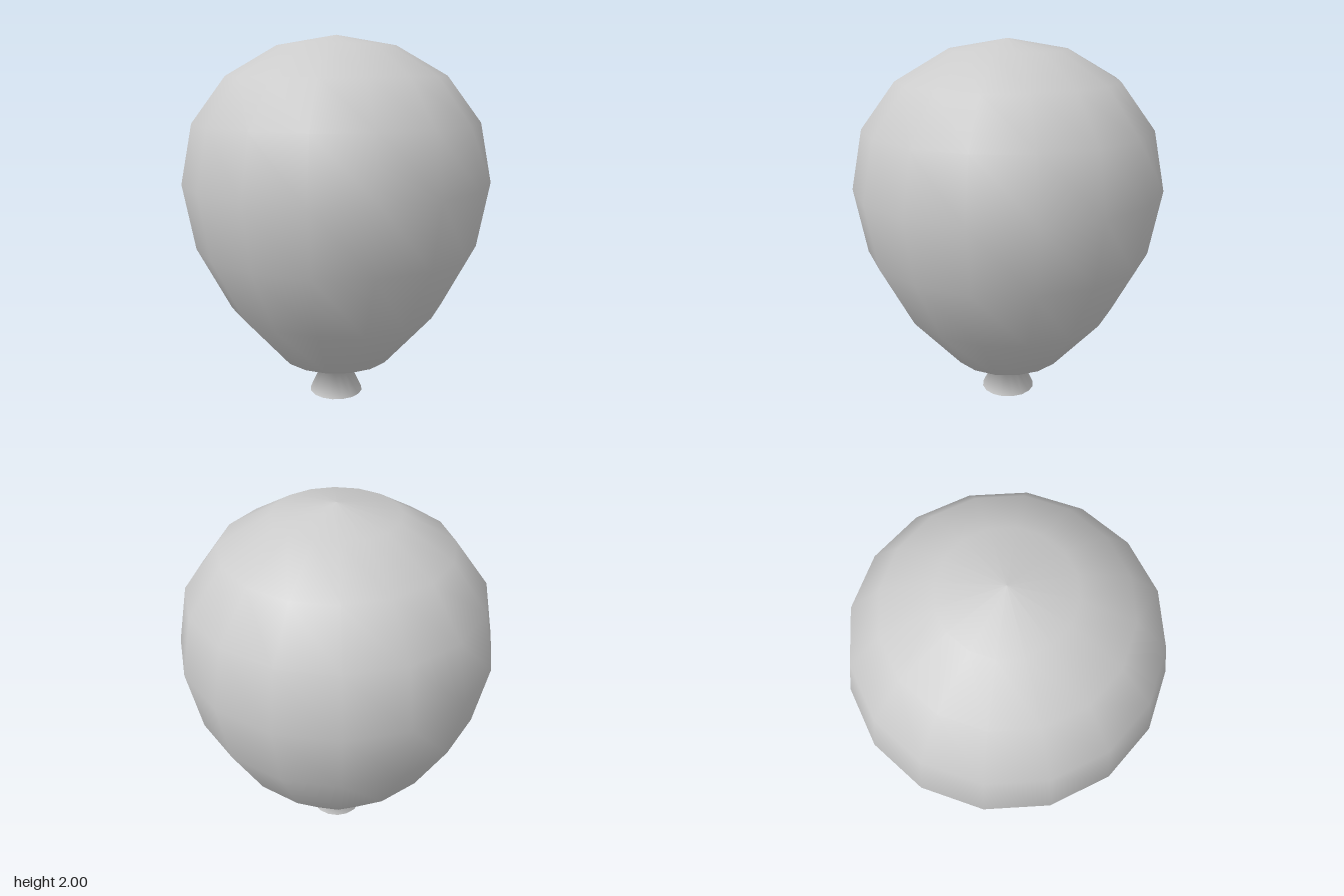
import * as THREE from 'three';

export function createModel() {
  const group = new THREE.Group();
  group.name = 'balloon';
  const material = new THREE.MeshStandardMaterial({ color: 0xcccccc });

  // One smooth 16-sided revolve, from the closed mouth up to the crown
  const profile = [
    [0, 0.005], [0.12, 0.005], [0.15, 0],                 // mouth and lip
    [0.09, 0.13],                                         // pinched neck
    [0.315, 0.23], [0.587, 0.54], [0.767, 0.885],         // tapering lower body
    [0.83, 1.235], [0.767, 1.55], [0.587, 1.79],          // widest part and shoulders
    [0.317, 1.945], [0, 2],                               // crown
  ].map(([r, y]) => new THREE.Vector2(r, y));

  const body = new THREE.Mesh(new THREE.LatheGeometry(profile, 16), material);
  body.name = 'balloonBody';
  group.add(body);
  return group;
}
